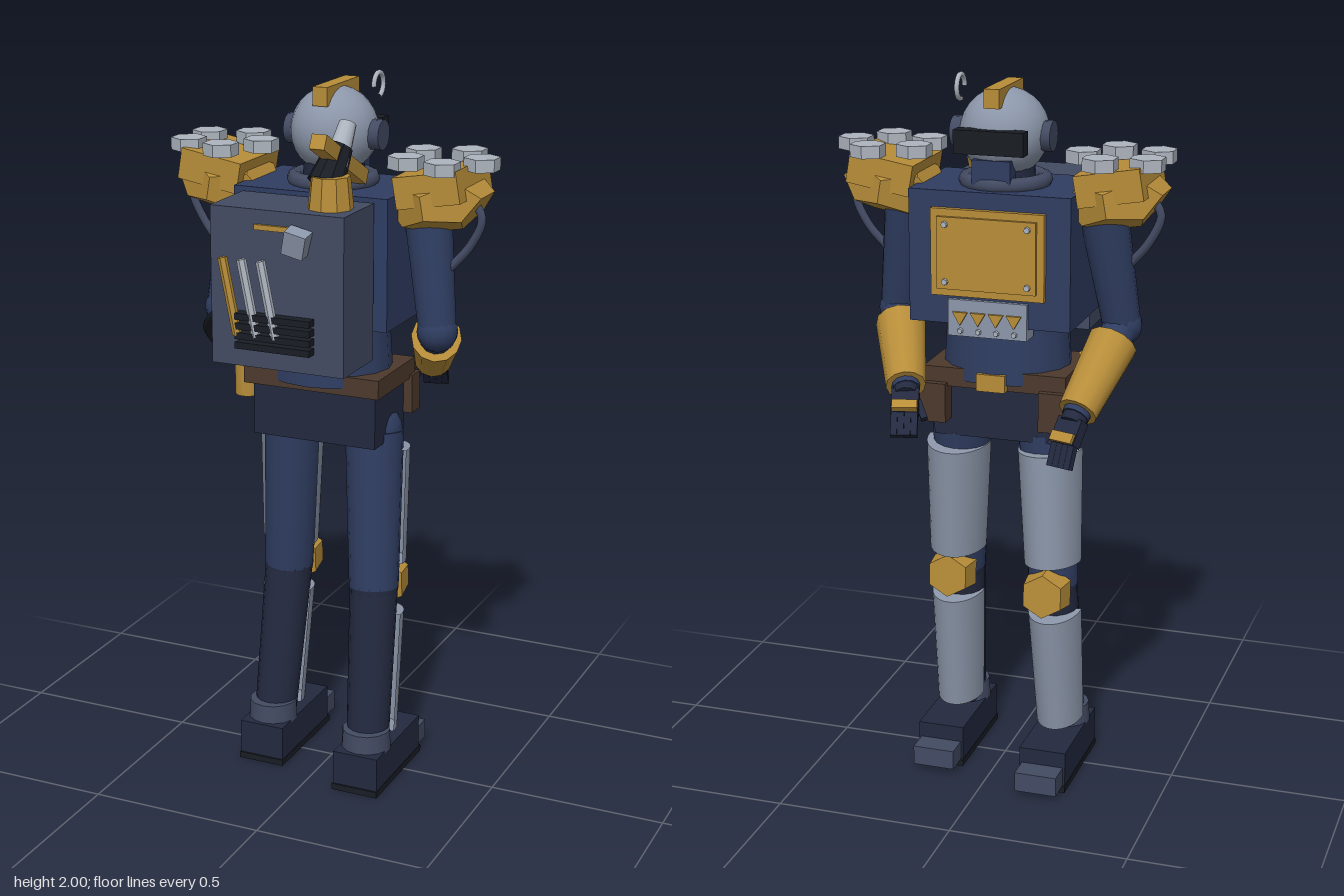
import * as THREE from 'three';

const V = (x, y, z) => new THREE.Vector3(x, y, z);
const COLORS = {
  navy: 0x2f3d61, dark: 0x23293f, slate: 0x434b63, gold: 0xb78d39, steel: 0x8c97aa,
  pale: 0xaeb5bf, brown: 0x4c392c, black: 0x191d24,
};
const mats = {};
function mat(color, flat = true) {
  const key = color + flat;
  if (!mats[key]) mats[key] = new THREE.MeshStandardMaterial({ color: COLORS[color], flatShading: flat });
  return mats[key];
}
const shellMat = new THREE.MeshStandardMaterial({ color: COLORS.steel, side: THREE.DoubleSide });

export function createModel() {
  const root = new THREE.Group();
  root.name = 'armouredExplorer';

  const add = (name, geo, color, pos, rot, parent, flat = true) => {
    const m = new THREE.Mesh(geo, mat(color, flat));
    m.name = name;
    m.position.set(...pos);
    m.rotation.set(...rot);
    parent.add(m);
    return m;
  };
  const group = (name) => {
    const g = new THREE.Group();
    g.name = name;
    root.add(g);
    return g;
  };
  // Box given by its min and max on each axis
  const box = (name, color, [x0, x1], [y0, y1], [z0, z1], parent) =>
    add(name, new THREE.BoxGeometry(x1 - x0, y1 - y0, z1 - z0), color,
      [(x0 + x1) / 2, (y0 + y1) / 2, (z0 + z1) / 2], [0, 0, 0], parent);
  // Tapered cylinder between two points
  const limb = (name, color, a, b, ra, rb, sides, parent, start = 0, sweep = Math.PI * 2) => {
    const d = b.clone().sub(a);
    const m = add(name, new THREE.CylinderGeometry(rb, ra, d.length(), sides, 1, false, start, sweep), color,
      a.clone().add(b).multiplyScalar(0.5).toArray(), [0, 0, 0], parent, sides < 12);
    m.quaternion.setFromUnitVectors(V(0, 1, 0), d.normalize());
    return m;
  };
  // Half shell on the face side of a leg, deeper than it is wide
  const guard = (name, a, b, ra, rb, depth, parent) => {
    const m = limb(name, 'steel', a, b, ra, rb, 16, parent, Math.PI / 2, Math.PI);
    m.scale.z = depth;
    m.material = shellMat;
  };
  const ball = (name, color, p, r, parent) =>
    add(name, new THREE.SphereGeometry(r, 14, 10), color, p.toArray(), [0, 0, 0], parent, false);
  const tube = (name, color, pts, r, parent) =>
    add(name, new THREE.TubeGeometry(new THREE.CatmullRomCurve3(pts), 20, r, 8), color, [0, 0, 0], [0, 0, 0], parent, false);

  // Head, visor, ear discs, crest and hook
  const head = group('head');
  add('helmet', new THREE.SphereGeometry(0.12, 20, 14), 'steel', [-0.012, 1.84, -0.043], [0, 0, 0], head, false);
  box('visor', 'black', [-0.107, 0.085], [1.8, 1.863], [-0.184, -0.142], head);
  box('crest', 'gold', [-0.032, 0.01], [1.917, 1.968], [-0.155, 0.055], head);
  limb('earDiscs', 'slate', V(-0.148, 1.835, -0.045), V(0.13, 1.835, -0.045), 0.041, 0.041, 14, head);
  add('antennaHook', new THREE.TorusGeometry(0.032, 0.007, 8, 16, 4.8), 'pale', [0.095, 1.961, -0.09],
    [0, Math.PI / 2, -1.6], head, false);
  limb('neck', 'dark', V(-0.01, 1.66, -0.035), V(-0.01, 1.78, -0.035), 0.09, 0.08, 12, head);
  box('breatherBox', 'navy', [-0.06, 0.045], [1.715, 1.78], [-0.15, -0.06], head);
  add('collar', new THREE.TorusGeometry(0.105, 0.022, 8, 20), 'slate', [-0.012, 1.712, -0.035], [Math.PI / 2, 0, 0], head, false);

  // Torso with riveted chest plate and belly panel
  const torso = group('torso');
  box('chest', 'navy', [-0.235, 0.213], [1.34, 1.7], [-0.178, 0.12], torso);
  limb('abdomen', 'navy', V(-0.01, 1.17, -0.005), V(-0.01, 1.36, -0.005), 0.18, 0.168, 16, torso).scale.z = 0.86;
  box('chestPlate', 'gold', [-0.168, 0.146], [1.42, 1.655], [-0.195, -0.17], torso);
  box('chestPanel', 'gold', [-0.148, 0.126], [1.44, 1.635], [-0.205, -0.19], torso);
  for (const x of [-0.125, 0.103]) for (const y of [1.46, 1.615])
    limb('rivet', 'pale', V(x, y, -0.2), V(x, y, -0.213), 0.01, 0.008, 8, torso);
  box('bellyPanel', 'steel', [-0.12, 0.1], [1.31, 1.41], [-0.19, -0.13], torso);
  for (let i = 0; i < 4; i++) {
    add('bellyMarker', new THREE.CylinderGeometry(0.024, 0.024, 0.012, 3), 'gold',
      [-0.085 + i * 0.05, 1.365, -0.192], [Math.PI / 2, 0, 0], torso);
    limb('bellyRivet', 'pale', V(-0.085 + i * 0.05, 1.325, -0.188), V(-0.085 + i * 0.05, 1.325, -0.198), 0.009, 0.007, 6, torso);
  }

  // Backpack with tools, vents and top actuator
  const pack = group('backpack');
  box('packBody', 'slate', [-0.202, 0.179], [1.265, 1.69], [0.132, 0.323], pack);
  box('packMount', 'slate', [-0.18, 0.16], [1.4, 1.65], [0.115, 0.135], pack);
  ['gold', 'pale', 'pale'].forEach((c, i) => {
    const x = -0.157 + i * 0.055;
    limb('packRod', c, V(x + 0.04, 1.355, 0.343), V(x, 1.56, 0.345), 0.013, 0.013, 6, pack);
  });
  for (let i = 0; i < 4; i++)
    box('ventBar', 'black', [-0.12, 0.095], [1.32 + i * 0.026, 1.338 + i * 0.026], [0.32, 0.354], pack);
  box('packRail', 'gold', [-0.072, 0.03], [1.638, 1.652], [0.32, 0.332], pack);
  add('packBlock', new THREE.BoxGeometry(0.06, 0.065, 0.045), 'steel', [0.056, 1.618, 0.343], [0.2, 0, -0.25], pack);
  limb('actuatorBase', 'gold', V(0.1, 1.68, 0.23), V(0.1, 1.775, 0.23), 0.062, 0.052, 9, pack);
  limb('actuatorArm', 'black', V(0.085, 1.75, 0.23), V(0.1, 1.84, 0.17), 0.05, 0.034, 10, pack);
  add('actuatorBar', new THREE.BoxGeometry(0.042, 0.04, 0.3), 'gold', [0.096, 1.804, 0.165], [-0.48, 0, 0], pack);
  limb('actuatorLens', 'pale', V(0.1, 1.795, 0.2), V(0.106, 1.895, 0.135), 0.033, 0.023, 12, pack);

  // Shoulders: faceted tilted pads, ring of hexagonal caps and a cable loop
  for (const s of [-1, 1]) {
    const g = group(s > 0 ? 'leftShoulder' : 'rightShoulder');
    const cx = s > 0 ? 0.312 : -0.33;
    add('padDome', new THREE.DodecahedronGeometry(0.145), 'gold', [cx - s * 0.01, 1.68, -0.028], [0, 0, s * 0.17], g).scale.y = 0.62;
    add('padTop', new THREE.BoxGeometry(0.18, 0.085, 0.24), 'gold', [cx - s * 0.005, 1.725, -0.028], [0, 0, s * 0.17], g);
    for (let i = 0; i < 5; i++) {
      const a = i * Math.PI * 0.4;
      const x = cx + 0.105 * Math.cos(a), z = -0.028 + 0.105 * Math.sin(a);
      limb('cap', 'pale', V(x, 1.768, z), V(x, 1.802, z), 0.049, 0.049, 6, g);
    }
    tube('shoulderCable', 'slate', [V(cx + s * 0.06, 1.7, -0.028), V(cx + s * 0.09, 1.675, -0.028), V(cx + s * 0.108, 1.635, -0.028),
      V(cx + s * 0.075, 1.56, -0.028), V(cx + s * 0.015, 1.49, -0.02)], 0.012, g);
  }

  // Arms: each has its own reach
  const arms = [
    { name: 'leftArm', s: 1, top: V(0.262, 1.64, -0.04), elbow: V(0.31, 1.325, 0), wrist: V(0.2, 1.165, -0.25), tip: V(0.168, 1.085, -0.36) },
    { name: 'rightArm', s: -1, top: V(-0.285, 1.64, -0.04), elbow: V(-0.33, 1.325, 0), wrist: V(-0.268, 1.13, -0.235), tip: V(-0.243, 1.02, -0.31) },
  ];
  for (const { name, s, top, elbow, wrist, tip } of arms) {
    const g = group(name);
    limb('upperArm', 'navy', top, elbow, 0.066, 0.052, 14, g);
    ball('elbow', 'navy', elbow, 0.056, g);
    const at = (t) => elbow.clone().lerp(wrist, t);
    limb('forearm', 'navy', elbow, wrist, 0.05, 0.038, 12, g);
    limb('forearmGuard', 'gold', at(0.2), at(0.95), 0.069, 0.054, 12, g);
    limb('wrist', 'dark', at(0.9), wrist.clone().lerp(tip, 0.15), 0.038, 0.034, 12, g);
    // Hand frame: z runs along the fingers
    const hand = new THREE.Group();
    hand.name = 'hand';
    hand.position.copy(wrist);
    hand.lookAt(tip);
    g.add(hand);
    const len = wrist.distanceTo(tip);
    box('palm', 'dark', [-0.037, 0.037], [-0.016, 0.02], [0.01, len * 0.6], hand);
    box('knucklePlate', 'gold', [-0.034, 0.034], [0.014, 0.03], [len * 0.4, len * 0.6], hand);
    for (let i = 0; i < 4; i++)
      add('finger', new THREE.BoxGeometry(0.0175, 0.02, len * 0.5), 'dark', [-0.027 + i * 0.018, -0.006, len * 0.8], [0.25, 0, 0], hand);
    add('thumb', new THREE.BoxGeometry(0.018, 0.018, 0.06), 'dark', [s * 0.042, -0.012, len * 0.42], [0.2, s * 0.35, 0], hand);
  }

  // Belt, pelvis, pouches and side canister
  const hips = group('hips');
  box('belt', 'brown', [-0.213, 0.19], [1.15, 1.203], [-0.138, 0.12], hips);
  box('pelvis', 'dark', [-0.192, 0.172], [1.0, 1.152], [-0.105, 0.1], hips);
  box('buckle', 'gold', [-0.05, 0.03], [1.152, 1.2], [-0.165, -0.12], hips);
  for (const x of [-0.18, 0.16])
    box('pouch', 'brown', [x - 0.038, x + 0.038], [1.05, 1.16], [-0.158, -0.1], hips);
  limb('canister', 'gold', V(-0.23, 1.1, 0.06), V(-0.23, 1.22, 0.06), 0.036, 0.036, 12, hips);
  tube('airHose', 'black', [V(-0.19, 1.4, 0.285), V(-0.25, 1.36, 0.225), V(-0.305, 1.3, 0.15),
    V(-0.29, 1.24, 0.1), V(-0.235, 1.21, 0.065)], 0.013, hips);

  // Legs: one steps ahead of the other
  for (const s of [-1, 1]) {
    const g = group(s > 0 ? 'leftLeg' : 'rightLeg');
    const X = (x) => -0.006 + s * x;
    const f = s > 0 ? 0 : -0.068; // forward step below the hip
    const hip = V(X(0.124), 1.015, -0.025), knee = V(X(0.148), 0.57, 0.03 + f), ankle = V(X(0.162), 0.12, 0.1 + f);
    ball('hip', 'navy', hip, 0.078, g);
    limb('thigh', 'navy', hip, knee, 0.082, 0.07, 16, g);
    ball('kneeJoint', 'dark', knee, 0.07, g);
    limb('shin', 'dark', knee, ankle, 0.068, 0.06, 16, g);
    guard('thighGuard', V(X(0.148), 0.64, 0.015 + f * 0.75), V(X(0.134), 0.965, -0.012 + f * 0.1), 0.08, 0.09, 1.4, g);
    guard('shinGuard', V(X(0.162), 0.15, 0.07 + f), V(X(0.155), 0.495, 0.033 + f), 0.067, 0.075, 1.45, g);
    limb('kneePad', 'gold', V(X(0.15), 0.565, -0.02 + f), V(X(0.15), 0.57, -0.09 + f), 0.072, 0.062, 6, g);
    limb('bootCuff', 'slate', V(X(0.163), 0.11, 0.112 + f), V(X(0.163), 0.17, 0.112 + f), 0.071, 0.068, 14, g);
    const bx = X(0.163);
    box('boot', 'dark', [bx - 0.067, bx + 0.067], [0.012, 0.117], [-0.12 + f, 0.193 + f], g);
    box('sole', 'black', [bx - 0.069, bx + 0.069], [0, 0.018], [-0.13 + f, 0.198 + f], g);
    box('toeCap', 'slate', [bx - 0.06, bx + 0.06], [0.016, 0.072], [-0.188 + f, -0.05 + f], g);
  }

  return root;
}
